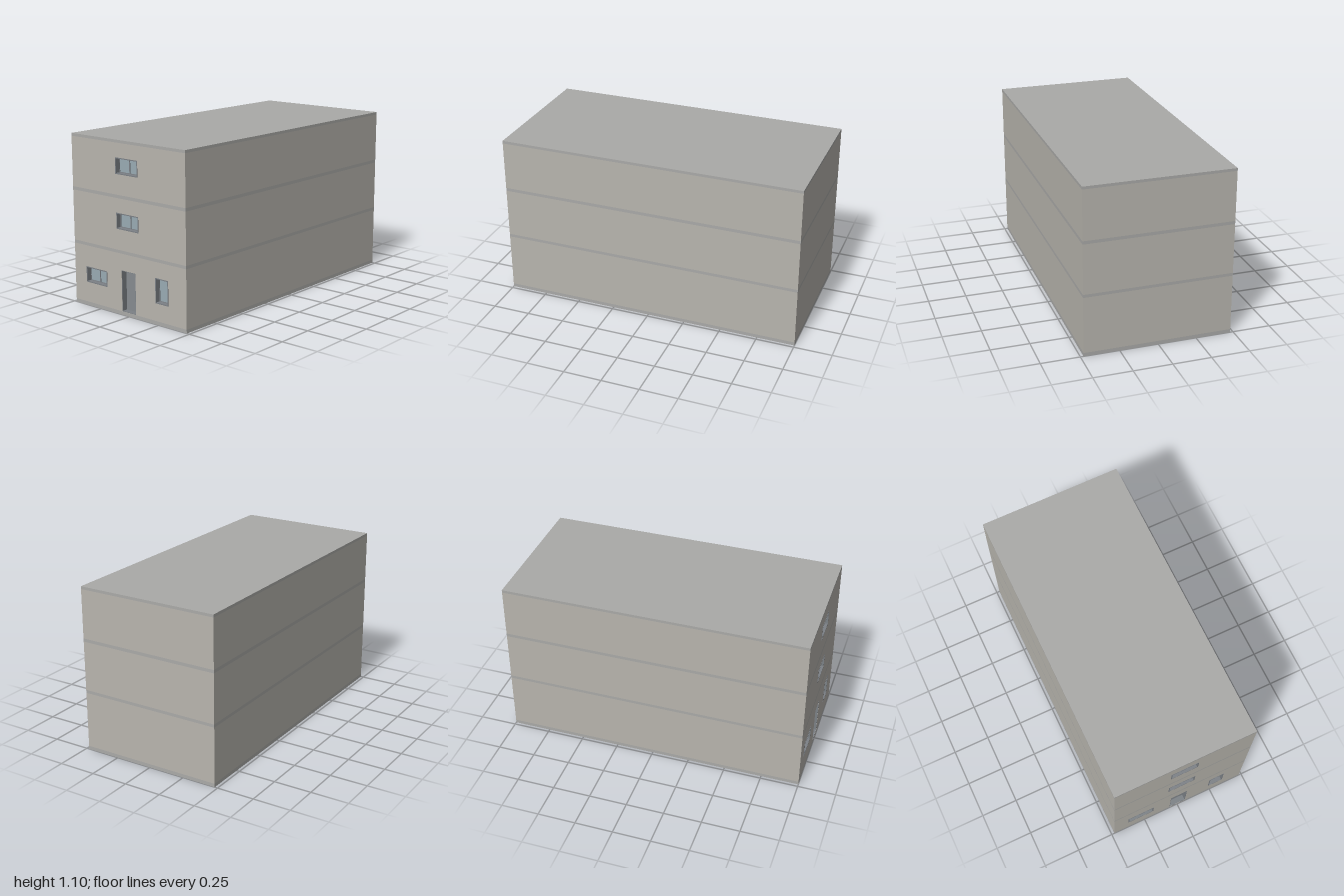
import * as THREE from 'three';

const W = 0.96, D = 2, T = 0.05; // block width, depth, wall thickness
const FRONT = D / 2;

const mat = (color) => new THREE.MeshStandardMaterial({ color });
const wallMat = mat(0xb8b5ae), slabMat = mat(0xaaaaa8), frameMat = mat(0x7c8186);
const glassMat = mat(0x9aabb4), doorMat = mat(0x868b90);

// Floor slabs [bottom, top]; storeys fill the gaps between them
const slabs = [[0, 0.023], [0.395, 0.415], [0.741, 0.762], [1.084, 1.102]];

// Openings: storey, centre x, bottom, top, width, panes (0 = door)
const openings = [
  { name: 'groundWindowPair', storey: 0, x: -0.282, y0: 0.155, y1: 0.257, w: 0.187, panes: 2 },
  { name: 'groundWindowSingle', storey: 0, x: 0.281, y0: 0.136, y1: 0.295, w: 0.106, panes: 1 },
  { name: 'frontDoor', storey: 0, x: 0, y0: 0.0235, y1: 0.288, w: 0.12, panes: 0 },
  { name: 'middleWindow', storey: 1, x: 0, y0: 0.548, y1: 0.649, w: 0.187, panes: 2 },
  { name: 'topWindow', storey: 2, x: 0, y0: 0.891, y1: 0.993, w: 0.187, panes: 2 },
];

function add(parent, name, geometry, material, x = 0, y = 0, z = 0) {
  const mesh = new THREE.Mesh(geometry, material);
  mesh.name = name;
  mesh.position.set(x, y, z);
  parent.add(mesh);
  return mesh;
}

function rect(target, x0, y0, x1, y1) {
  target.moveTo(x0, y0);
  target.lineTo(x1, y0);
  target.lineTo(x1, y1);
  target.lineTo(x0, y1);
  target.closePath();
  return target;
}

const extrude = (shape, depth) => new THREE.ExtrudeGeometry(shape, { depth, bevelEnabled: false });

// Rectangular frame centred on the origin, from z = 0 forward
function frameGeometry(w, h, bar, depth) {
  const shape = rect(new THREE.Shape(), -w / 2, -h / 2, w / 2, h / 2);
  shape.holes.push(rect(new THREE.Path(), -w / 2 + bar, -h / 2 + bar, w / 2 - bar, h / 2 - bar));
  return extrude(shape, depth);
}

function storey(index) {
  const group = new THREE.Group();
  group.name = 'storey' + (index + 1);
  const y0 = slabs[index][1], y1 = slabs[index + 1][0], h = y1 - y0;

  // Front wall pierced by its openings
  const shape = rect(new THREE.Shape(), -W / 2, y0, W / 2, y1);
  for (const o of openings.filter((o) => o.storey === index)) {
    shape.holes.push(rect(new THREE.Path(), o.x - o.w / 2, o.y0, o.x + o.w / 2, o.y1));
  }
  add(group, 'frontWall', extrude(shape, T), wallMat, 0, 0, FRONT - T);

  // Back and side walls
  add(group, 'backWall', new THREE.BoxGeometry(W, h, T), wallMat, 0, (y0 + y1) / 2, -D / 2 + T / 2);
  for (const s of [-1, 1]) {
    add(group, s > 0 ? 'leftWall' : 'rightWall', new THREE.BoxGeometry(T, h, D - 2 * T), wallMat,
      s * (W - T) / 2, (y0 + y1) / 2, 0);
  }
  return group;
}

function windowUnit(o) {
  const group = new THREE.Group();
  group.name = o.name;
  const h = o.y1 - o.y0, lining = 0.006, back = 0.04;
  group.position.set(o.x, (o.y0 + o.y1) / 2, FRONT - back);

  // Deep outer lining standing just proud of the wall
  add(group, 'lining', frameGeometry(o.w, h, lining, back + 0.002), frameMat);

  // Recessed sashes with glass
  const paneW = (o.w - 2 * lining) / o.panes, paneH = h - 2 * lining;
  for (let i = 0; i < o.panes; i++) {
    const x = (i - (o.panes - 1) / 2) * paneW;
    add(group, 'sash', frameGeometry(paneW, paneH, 0.003, 0.012), frameMat, x);
    add(group, 'glass', new THREE.BoxGeometry(paneW - 0.006, paneH - 0.006, 0.004), glassMat, x, 0, 0.006);
  }
  return group;
}

function doorUnit(o) {
  const group = new THREE.Group();
  group.name = o.name;
  const h = o.y1 - o.y0;
  group.position.set(o.x, (o.y0 + o.y1) / 2, FRONT - T);
  add(group, 'doorFrame', frameGeometry(o.w, h, 0.003, T - 0.001), frameMat);
  add(group, 'doorLeaf', new THREE.BoxGeometry(o.w - 0.006, h - 0.006, 0.012), doorMat, 0, 0, 0.006);
  return group;
}

export function createModel() {
  const model = new THREE.Group();
  model.name = 'building';

  slabs.forEach(([y0, y1], i) => {
    const name = i === 0 ? 'baseSlab' : i === slabs.length - 1 ? 'roofSlab' : 'floorSlab' + i;
    add(model, name, new THREE.BoxGeometry(W, y1 - y0, D), slabMat, 0, (y0 + y1) / 2, 0);
  });
  for (let i = 0; i < slabs.length - 1; i++) model.add(storey(i));
  for (const o of openings) model.add(o.panes ? windowUnit(o) : doorUnit(o));

  return model;
}
